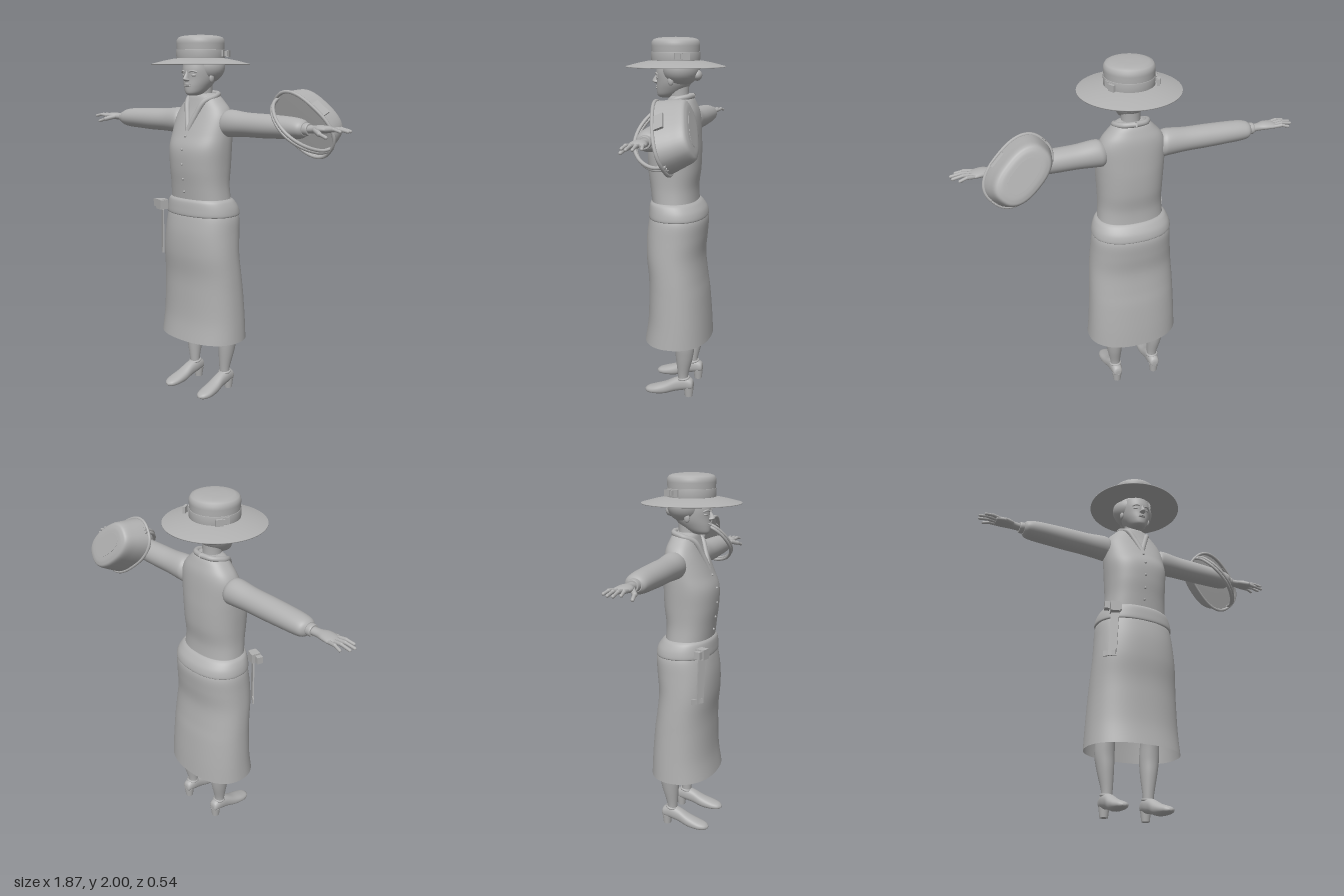
import * as THREE from 'three';

const grey = new THREE.MeshStandardMaterial({ color: 0xb0b0b0, side: THREE.DoubleSide });
grey.name = 'grey';

// Smooth loft up y. Rows, bottom to top: [y, half width, front z, back z, centre x].
function loft(rows, { n = 40, steps = 6, e = 2, cap = true } = {}) {
  const cols = [0, 1, 2, 3, 4].map(k => new THREE.SplineCurve(rows.map(r => new THREE.Vector2(r[k] ?? 0, 0))));
  const m = (rows.length - 1) * steps, pos = [], idx = [];
  const pow = v => Math.sign(v) * Math.abs(v) ** (2 / e);
  for (let i = 0; i <= m; i++) {
    const [y, rx, zf, zb, cx] = cols.map(c => c.getPoint(i / m).x);
    for (let j = 0; j < n; j++) {
      const a = j / n * Math.PI * 2;
      pos.push(cx + rx * pow(Math.cos(a)), y, (zf + zb) / 2 + (zf - zb) / 2 * pow(Math.sin(a)));
      const p = i * n + j, q = i * n + (j + 1) % n;
      if (i < m) idx.push(p, p + n, q, q, p + n, q + n);
    }
  }
  if (cap) [0, m].forEach(i => {
    const r = rows[i ? rows.length - 1 : 0], c = pos.length / 3;
    pos.push(r[4] ?? 0, r[0], (r[2] + r[3]) / 2);
    for (let j = 0; j < n; j++) {
      const p = i * n + j, q = i * n + (j + 1) % n;
      idx.push(c, i ? q : p, i ? p : q);
    }
  });
  const g = new THREE.BufferGeometry();
  g.setAttribute('position', new THREE.Float32BufferAttribute(pos, 3));
  g.setIndex(idx);
  g.computeVertexNormals();
  return g;
}

function add(parent, name, geo, p = [0, 0, 0], r = [0, 0, 0], s = [1, 1, 1]) {
  const mesh = new THREE.Mesh(geo, grey);
  mesh.name = name;
  mesh.position.set(...p);
  mesh.rotation.set(...r);
  mesh.scale.set(...s);
  parent.add(mesh);
  return mesh;
}

const V = (x, y, z) => new THREE.Vector3(x, y, z);
const tube = (pts, r) => new THREE.TubeGeometry(new THREE.CatmullRomCurve3(pts.map(p => V(...p))), 40, r, 10);
const lathe = pts => new THREE.LatheGeometry(pts.map(p => new THREE.Vector2(...p)), 64);

// Rounded finger between two points
function finger(parent, name, a, b, r) {
  const d = V(...b).sub(V(...a));
  const f = add(parent, name, new THREE.CapsuleGeometry(r, d.length(), 4, 10));
  f.position.copy(V(...a)).addScaledVector(d, 0.5);
  f.quaternion.setFromUnitVectors(V(0, 1, 0), d.normalize());
}

// Arm, hand, leg and shoe of one side, built on +x
function limbs(name) {
  const g = new THREE.Group();
  g.name = name;
  add(g, 'sleeve', loft([
    [.14, .05, .01, -.08, -1.53], [.165, .068, .03, -.1, -1.535], [.2, .072, .034, -.104, -1.54],
    [.3, .064, .03, -.1, -1.538], [.42, .062, .03, -.1, -1.537], [.53, .058, .028, -.1, -1.537],
    [.61, .054, .025, -.098, -1.536], [.655, .046, .018, -.092, -1.535], [.675, .032, .002, -.07, -1.535]
  ]), [0, 0, 0], [0, 0, -Math.PI / 2]);
  add(g, 'cuff', loft([[.66, .03, .0, -.07, -1.535], [.69, .031, -.003, -.069, -1.535], [.7, .028, -.006, -.066, -1.535]]),
    [0, 0, 0], [0, 0, -Math.PI / 2]);
  add(g, 'hand', loft([
    [.68, .021, -.012, -.06, -1.535], [.73, .02, -.01, -.062, -1.537], [.77, .02, .006, -.074, -1.54],
    [.81, .016, .004, -.08, -1.54], [.835, .009, -.006, -.076, -1.538]
  ], { n: 24 }), [0, 0, 0], [0, 0, -Math.PI / 2]);
  [[-.006, .004, .9], [-.027, -.023, .925], [-.048, -.052, .92], [-.069, -.085, .89]].forEach(([z0, z1, x], i) => {
    const mid = [(x + .82) / 2, 1.545, (z0 + z1) / 2];
    finger(g, 'finger' + (i + 1), [.815, 1.54, z0], mid, .0098);
    finger(g, 'fingertip' + (i + 1), mid, [x, 1.537, z1], .008);
  });
  finger(g, 'thumb', [.75, 1.535, -.01], [.795, 1.522, .02], .013);
  finger(g, 'thumbTip', [.795, 1.522, .02], [.84, 1.508, .03], .009);

  add(g, 'leg', loft([
    [.07, .028, -.05, -.105, .12], [.13, .03, -.045, -.105, .12], [.24, .045, -.035, -.132, .127],
    [.33, .053, -.03, -.142, .132], [.45, .05, -.01, -.135, .13], [.65, .065, .04, -.13, .12]
  ]));
  // Shoe is lofted from heel to toe, then laid along z
  add(g, 'shoe', loft([
    [-.135, .016, -.055, -.085, .12], [-.125, .028, -.045, -.105, .12], [-.085, .034, -.038, -.12, .12],
    [-.03, .035, -.025, -.105, .122], [.03, .041, -.006, -.074, .125], [.09, .042, -.002, -.052, .128],
    [.13, .03, -.005, -.038, .128], [.147, .008, -.014, -.024, .128]
  ], { n: 28, e: 2.3 }), [0, 0, 0], [Math.PI / 2, 0, 0]);
  add(g, 'shoeHeel', new THREE.CylinderGeometry(.029, .022, .055, 20), [.12, .0275, -.108]);
  add(g, 'shoeCollar', new THREE.TorusGeometry(.03, .007, 8, 24), [.12, .108, -.078], [Math.PI / 2 + .15, 0, 0]);
  // Collar roll from the neck opening round to the nape
  add(g, 'collar', tube([[0, 1.5, .098], [.03, 1.58, .07], [.06, 1.65, .038], [.088, 1.678, -.02], [.06, 1.69, -.075], [0, 1.695, -.095]], .015));
  add(g, 'ear', new THREE.SphereGeometry(.02, 16, 12), [.087, 1.775, .005], [0, 0, 0], [.5, 1.2, .8]);
  add(g, 'eyelid', new THREE.SphereGeometry(.016, 16, 12), [.033, 1.79, .088], [0, .3, 0], [1.1, .5, .7]);
  add(g, 'brow', tube([[.014, 1.808, .104], [.034, 1.813, .099], [.055, 1.806, .083]], .005));
  // Hat bow
  [-.022, .022].forEach(d => add(g, 'bowLoop', new THREE.BoxGeometry(.014, .034, .038), [.122, 1.903, -.065 + d], [0, .45, 0]));
  add(g, 'bowKnot', new THREE.BoxGeometry(.02, .024, .02), [.123, 1.903, -.065], [0, .45, 0]);
  return g;
}

function makeBasket() {
  const g = new THREE.Group();
  g.name = 'basket';
  const axis = V(0, -.3, .95).normalize();
  const wide = V(.72, -.69, 0).addScaledVector(axis, -V(.72, -.69, 0).dot(axis)).normalize();
  g.applyMatrix4(new THREE.Matrix4().makeBasis(wide, axis, wide.clone().cross(axis)).setPosition(.61, 1.55, -.1));
  add(g, 'basketBody', loft([
    [-.148, .1, .05, -.05], [-.145, .135, .078, -.078], [-.13, .16, .1, -.1], [-.07, .177, .112, -.112], [0, .192, .124, -.124]
  ], { e: 2.5, cap: false }));
  add(g, 'basketBase', loft([[-.149, .1, .05, -.05], [-.147, .1, .05, -.05]], { e: 2.5 }));
  add(g, 'basketLid', loft([[-.02, .185, .118, -.118], [-.012, .185, .118, -.118]], { e: 2.5 }));
  const rim = Array.from({ length: 24 }, (_, i) => {
    const a = i / 24 * Math.PI * 2, p = v => Math.sign(v) * Math.abs(v) ** .8;
    return V(.193 * p(Math.cos(a)), 0, .125 * p(Math.sin(a)));
  });
  add(g, 'basketRim', new THREE.TubeGeometry(new THREE.CatmullRomCurve3(rim, true), 80, .009, 8, true));
  // Handle hooked over the forearm
  [-.008, .008].forEach(z => add(g, 'basketHandle',
    tube([[-.19, -.02, z], [-.17, .05, z], [-.1, .115, z], [0, .142, z], [.1, .115, z], [.17, .05, z], [.19, -.02, z]], .009)));
  add(g, 'basketClasp', new THREE.BoxGeometry(.085, .06, .012), [.02, -.025, -.123], [.12, 0, 0]);
  return g;
}

export function createModel() {
  const model = new THREE.Group();
  model.name = 'womanInHat';

  // Clothing
  add(model, 'skirt', loft([
    [.33, .265, .16, -.21], [.45, .258, .142, -.203], [.6, .25, .137, -.19], [.7, .245, .138, -.176],
    [.82, .237, .15, -.165], [.93, .228, .15, -.175], [1.02, .219, .138, -.18], [1.07, .2, .125, -.165]
  ], { n: 64, e: 2.25, cap: false }));
  add(model, 'waistband', loft([
    [1.036, .208, .125, -.165], [1.042, .222, .138, -.18], [1.08, .216, .137, -.172], [1.115, .2, .132, -.148], [1.13, .183, .122, -.13]
  ], { n: 64, e: 2.25 }));
  add(model, 'blouse', loft([
    [1.1, .185, .118, -.13], [1.2, .176, .13, -.125], [1.3, .178, .143, -.137], [1.4, .183, .143, -.14],
    [1.48, .184, .112, -.137], [1.56, .18, .078, -.132], [1.61, .16, .058, -.125], [1.65, .125, .045, -.112],
    [1.68, .092, .035, -.098], [1.695, .055, .02, -.08]
  ], { n: 64, e: 2.3 }));
  [[1.17, .128], [1.24, .137], [1.32, .145], [1.4, .144], [1.47, .118]].forEach(([y, z]) =>
    add(model, 'button', new THREE.SphereGeometry(.007, 12, 8), [0, y, z]));
  add(model, 'skirtPocket', new THREE.BoxGeometry(.045, .25, .008), [-.183, .925, .118], [0, -.6, -.05]);
  add(model, 'pocketFoot', new THREE.BoxGeometry(.07, .03, .008), [-.2, .815, .105], [0, -.7, 0]);
  add(model, 'beltPouch', new THREE.BoxGeometry(.05, .055, .05), [-.18, 1.08, .125], [0, -.3, 0]);
  [-.225, -.162].forEach(x => add(model, 'pouchTab', new THREE.BoxGeometry(.028, .04, .035), [x, 1.083, .118 + (x + .225) * .3], [0, -.3, 0]));

  // Head
  add(model, 'neck', loft([[1.62, .062, .035, -.085], [1.68, .05, .032, -.07], [1.76, .052, .04, -.075]]));
  add(model, 'head', loft([
    [1.684, .018, .085, .03], [1.697, .043, .1, -.015], [1.73, .064, .104, -.06], [1.77, .08, .103, -.09],
    [1.82, .086, .106, -.1], [1.87, .084, .095, -.1]
  ]));
  add(model, 'nose', loft([
    [1.757, .008, .11, .09], [1.765, .017, .126, .085], [1.775, .012, .129, .09], [1.8, .007, .113, .09], [1.815, .005, .106, .09]
  ], { n: 16 }));
  [1.734, 1.742].forEach(y => add(model, 'lip', new THREE.SphereGeometry(.02, 16, 10), [0, y, .099], [0, 0, 0], [1.1, .25, .6]));
  add(model, 'hair', new THREE.SphereGeometry(1, 40, 24), [0, 1.835, -.028], [0, 0, 0], [.122, .092, .1]);
  add(model, 'hairBun', new THREE.SphereGeometry(.029, 24, 16), [0, 1.802, -.118], [0, 0, 0], [1.2, 1, .9]);

  // Hat
  add(model, 'hatBrim', lathe([[.1, 1.866], [.2, 1.858], [.266, 1.845], [.266, 1.849], [.2, 1.866], [.15, 1.876], [.12, 1.88]]));
  add(model, 'hatCrown', lathe([[.124, 1.872], [.126, 1.91], [.129, 1.955], [.128, 1.973], [.119, 1.987], [.1, 1.994], [.06, 1.999], [0, 2]]));
  add(model, 'hatBand', lathe([[.125, 1.878], [.13, 1.88], [.131, 1.922], [.126, 1.924]]));

  // Mirrored sides
  const right = limbs('rightSide');
  right.scale.x = -1;
  model.add(limbs('leftSide'), right, makeBasket());
  return model;
}
